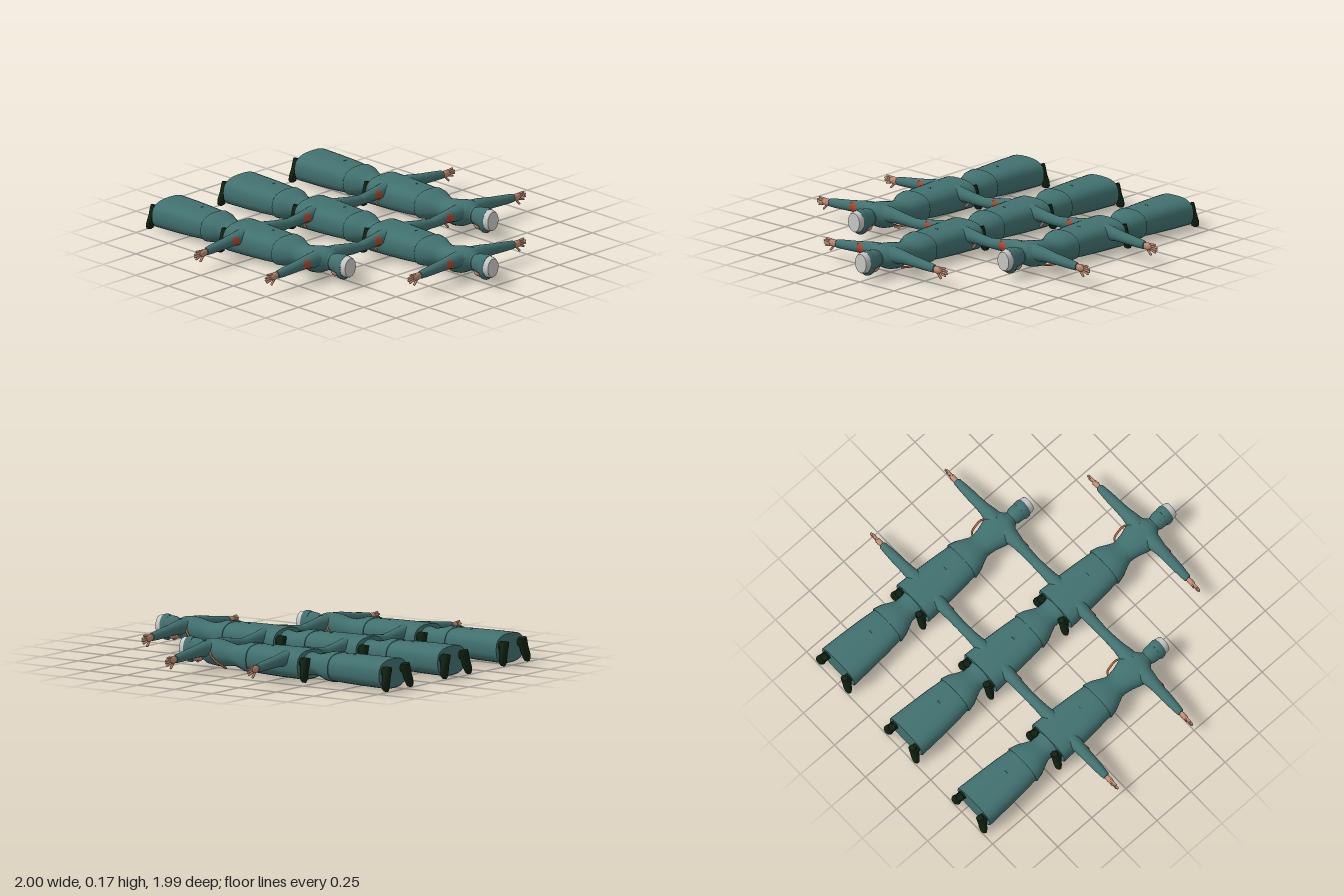
import * as THREE from 'three';

const mat = (name, color) => Object.assign(new THREE.MeshStandardMaterial({ color }), { name });

// Closed skin through rounded cross-sections [z, halfWidth, yLow, yHigh, squareness], z ascending
function loft(rings, seg = 28) {
  const pos = [], idx = [];
  const point = ([z, w, lo, hi, n = 2], j) => {
    const a = (j / seg) * Math.PI * 2, c = Math.cos(a), s = Math.sin(a);
    const f = (v) => Math.sign(v) * Math.pow(Math.abs(v), 2 / n);
    pos.push(w * f(c), (lo + hi) / 2 + ((hi - lo) / 2) * f(s), z);
  };
  rings.forEach((r) => { for (let j = 0; j < seg; j++) point(r, j); });
  for (let i = 0; i < rings.length - 1; i++) {
    for (let j = 0; j < seg; j++) {
      const a = i * seg + j, b = i * seg + ((j + 1) % seg);
      idx.push(a, b, b + seg, a, b + seg, a + seg);
    }
  }
  // flat end caps with their own corners
  [rings[0], rings[rings.length - 1]].forEach((r, end) => {
    const base = pos.length / 3;
    pos.push(0, (r[2] + r[3]) / 2, r[0]);
    for (let j = 0; j < seg; j++) point(r, j);
    for (let j = 0; j < seg; j++) {
      const a = base + 1 + j, b = base + 1 + ((j + 1) % seg);
      idx.push(base, ...(end ? [a, b] : [b, a]));
    }
  });
  const g = new THREE.BufferGeometry();
  g.setAttribute('position', new THREE.Float32BufferAttribute(pos, 3));
  g.setIndex(idx);
  g.computeVertexNormals();
  return g;
}

function buildFigure() {
  const teal = mat('teal cloth', 0x417170);
  const skin = mat('skin', 0xc18c72);
  const dark = mat('dark boot leather', 0x0f2110);
  const pale = mat('pale cap', 0xcacac8);
  const red = mat('red patch', 0xb5442a);
  const cord = mat('tan cord', 0xb5683f);
  const fig = new THREE.Group();
  const add = (name, geo, material, parent = fig) => {
    const m = new THREE.Mesh(geo, material);
    m.name = name;
    parent.add(m);
    return m;
  };
  const ball = (name, material, x, y, z, sx, sy, sz, parent) => {
    const m = add(name, new THREE.SphereGeometry(1, 16, 12), material, parent);
    m.position.set(x, y, z);
    m.scale.set(sx, sy, sz);
  };

  // Long coat skirt, flat along the back and round in front
  add('coatSkirt', loft([
    [-0.648, 0.130, 0.012, 0.17, 2.7], [-0.645, 0.133, 0.008, 0.172, 2.7],
    [-0.5, 0.125, 0.01, 0.172, 2.7], [-0.38, 0.117, 0.013, 0.171, 2.6],
    [-0.28, 0.107, 0.018, 0.168, 2.5], [-0.22, 0.09, 0.03, 0.16, 2.4],
  ]), teal);

  // Jacket with flared lower edge, narrow waist and shoulders
  add('jacket', loft([
    [-0.292, 0.113, 0.016, 0.17, 2.5], [-0.287, 0.117, 0.011, 0.174, 2.5],
    [-0.24, 0.105, 0.016, 0.172, 2.4], [-0.2, 0.086, 0.027, 0.161, 2.2],
    [-0.165, 0.07, 0.034, 0.153, 2.1], [-0.14, 0.07, 0.034, 0.152, 2.1],
    [-0.1, 0.076, 0.03, 0.158, 2.2], [-0.05, 0.092, 0.027, 0.168, 2.3],
    [0, 0.105, 0.035, 0.172, 2.2], [0.03, 0.092, 0.05, 0.17, 2.1],
    [0.05, 0.062, 0.06, 0.162, 2], [0.065, 0.044, 0.066, 0.152, 2],
  ]), teal);
  for (const x of [0.004, 0.016]) ball('backButton', teal, x, 0.171, -0.4, 0.003, 0.003, 0.003);

  // Collar, hooded head and face
  add('collar', loft([
    [0.04, 0.054, 0.058, 0.162], [0.065, 0.046, 0.058, 0.156], [0.07, 0.042, 0.062, 0.152],
  ]), teal);
  add('hood', loft([
    [0.05, 0.036, 0.066, 0.15], [0.075, 0.039, 0.06, 0.155], [0.095, 0.047, 0.053, 0.163],
    [0.125, 0.049, 0.05, 0.166], [0.155, 0.047, 0.05, 0.163],
  ]), teal);
  ball('face', skin, 0, 0.063, 0.106, 0.036, 0.026, 0.039);
  ball('nose', skin, 0, 0.038, 0.108, 0.006, 0.008, 0.01);

  // Cap: flared teal brim, deeper toward the face, around a pale tapered crown
  add('capBrim', loft([
    [0.132, 0.049, 0.04, 0.168], [0.145, 0.053, 0.028, 0.172], [0.162, 0.053, 0.03, 0.172],
    [0.172, 0.048, 0.045, 0.168],
  ]), teal);
  add('capCrown', loft([
    [0.168, 0.048, 0.046, 0.167], [0.195, 0.045, 0.049, 0.164], [0.203, 0.041, 0.054, 0.159],
  ]), pale);

  for (const side of [-1, 1]) {
    // Sleeve and hand, built along z and turned sideways
    const arm = new THREE.Group();
    arm.name = side > 0 ? 'leftArm' : 'rightArm';
    arm.rotation.y = (side * Math.PI) / 2;
    fig.add(arm);
    add('sleeve', loft([
      [0.04, 0.05, 0.07, 0.17], [0.09, 0.043, 0.08, 0.166], [0.14, 0.034, 0.086, 0.158],
      [0.2, 0.03, 0.086, 0.148], [0.25, 0.029, 0.084, 0.142], [0.31, 0.025, 0.082, 0.134],
      [0.352, 0.021, 0.082, 0.128], [0.358, 0.016, 0.086, 0.123],
    ], 20), teal, arm);
    ball('palm', skin, 0, 0.102, 0.38, 0.015, 0.021, 0.034, arm);
    const finger = (name, y0, z0, y1, z1, r) => {
      const a = new THREE.Vector3(0, y0, z0), d = new THREE.Vector3(0, y1 - y0, z1 - z0);
      const f = add(name, new THREE.CapsuleGeometry(r, d.length(), 3, 8), skin, arm);
      f.position.copy(a).addScaledVector(d, 0.5);
      f.quaternion.setFromUnitVectors(new THREE.Vector3(0, 1, 0), d.normalize());
    };
    for (let i = 0; i < 4; i++) {
      finger('finger', 0.09 + i * 0.009, 0.395, 0.078 + i * 0.014, [0.435, 0.446, 0.446, 0.432][i], 0.006);
    }
    finger('thumb', 0.09, 0.375, 0.06, 0.402, 0.0065);

    // Boot: shaft under the hem, toe pointing forward and splayed out
    const boot = new THREE.Group();
    boot.name = side > 0 ? 'leftBoot' : 'rightBoot';
    boot.position.set(side * 0.086, 0.118, -0.65);
    boot.rotation.z = side * 0.28;
    fig.add(boot);
    add('bootShaft', loft([
      [-0.03, 0.024, -0.03, 0.018], [0.03, 0.026, -0.035, 0.02],
    ], 16), dark, boot);
    const foot = add('bootFoot', loft([
      [-0.02, 0.02, -0.045, -0.01, 2.5], [0, 0.025, -0.045, 0.004, 2.5],
      [0.04, 0.024, -0.045, 0, 2.4], [0.08, 0.029, -0.045, -0.011, 2.4],
      [0.105, 0.024, -0.045, -0.017, 2.3], [0.115, 0.012, -0.043, -0.025, 2.2],
    ], 18), dark, boot);
    foot.rotation.x = Math.PI / 2;
  }

  // Red patch on the upper side of the right sleeve
  const patch = add('sleevePatch', new THREE.CylinderGeometry(0.0345, 0.0345, 0.056, 12, 1, true, -0.8, 1.6), red);
  red.side = THREE.DoubleSide;
  patch.rotation.z = Math.PI / 2 - 0.08;
  patch.position.set(-0.155, 0.121, 0);

  // Cord looping under the left shoulder to the chest
  const path = new THREE.CatmullRomCurve3([
    [0.08, 0.12, -0.03], [0.102, 0.1, -0.05], [0.108, 0.07, -0.085],
    [0.098, 0.045, -0.125], [0.07, 0.03, -0.13], [0.03, 0.026, -0.09],
  ].map((p) => new THREE.Vector3(...p)));
  add('shoulderCord', new THREE.TubeGeometry(path, 24, 0.006, 6), cord);
  return fig;
}

export function createModel() {
  const model = new THREE.Group();
  model.name = 'figureFormation';
  const figure = buildFigure();
  // Three columns of figures lying face down; the middle one has an extra in front
  for (const x of [-0.546, 0, 0.546]) {
    for (const z of x === 0 ? [0.79, 0.241, -0.305] : [0.241, -0.305]) {
      const f = figure.clone();
      f.name = 'figure';
      f.position.set(x, 0, z);
      model.add(f);
    }
  }
  return model;
}
